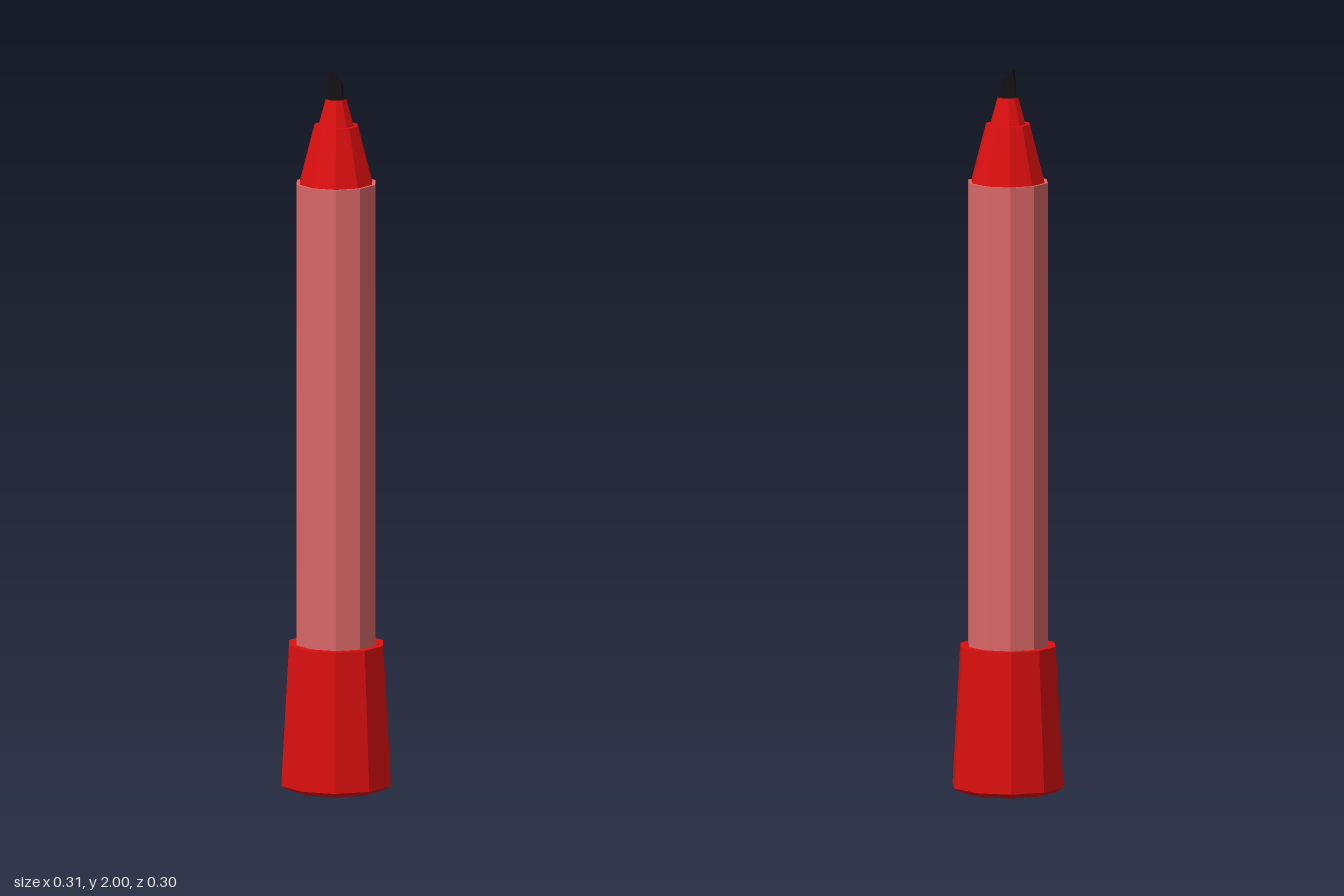
import * as THREE from 'three';

const red = new THREE.MeshStandardMaterial({ color: 0xdc0f0f });
red.name = 'red plastic';
const pink = new THREE.MeshStandardMaterial({ color: 0xdc6868 });
pink.name = 'pale red barrel';
const black = new THREE.MeshStandardMaterial({ color: 0x121214 });
black.name = 'black felt';

// Ten-sided turned part with faceted normals; the corners lie on the x axis
function turned(name, profile, material) {
  const points = profile.map(([r, y]) => new THREE.Vector2(r, y));
  const geometry = new THREE.LatheGeometry(points, 10, Math.PI / 2).toNonIndexed();
  geometry.computeVertexNormals();
  const mesh = new THREE.Mesh(geometry, material);
  mesh.name = name;
  return mesh;
}

export function createModel() {
  const pen = new THREE.Group();
  pen.name = 'markerPen';

  // Flared end piece with a stepped recess underneath
  pen.add(turned('endPiece', [
    [0, 0.07], [0.055, 0.07], [0.06, 0.035], [0.105, 0],
    [0.13, 0], [0.157, 0.015], [0.135, 0.405], [0, 0.405],
  ], red));

  // Long straight barrel
  pen.add(turned('barrel', [[0.113, 0.405], [0.113, 1.69], [0, 1.69]], pink));

  // Stepped cone that holds the nib
  pen.add(turned('cone', [
    [0.104, 1.69], [0.062, 1.85], [0.05, 1.85], [0.029, 1.924], [0, 1.924],
  ], red));

  // Felt disc closing the cone
  pen.add(turned('nibSeat', [[0.029, 1.924], [0.028, 1.926], [0, 1.926]], black));

  // Thin chisel nib, higher on the right side
  const outline = new THREE.Shape([
    [-0.02, 1.925], [0.02, 1.925], [0.018, 1.968], [-0.016, 2], [-0.02, 1.965],
  ].map(([x, y]) => new THREE.Vector2(x, y)));
  const nibGeometry = new THREE.ExtrudeGeometry(outline, { depth: 0.014, bevelEnabled: false });
  nibGeometry.translate(0, 0, -0.007);
  const nib = new THREE.Mesh(nibGeometry, black);
  nib.name = 'nib';
  pen.add(nib);

  return pen;
}
